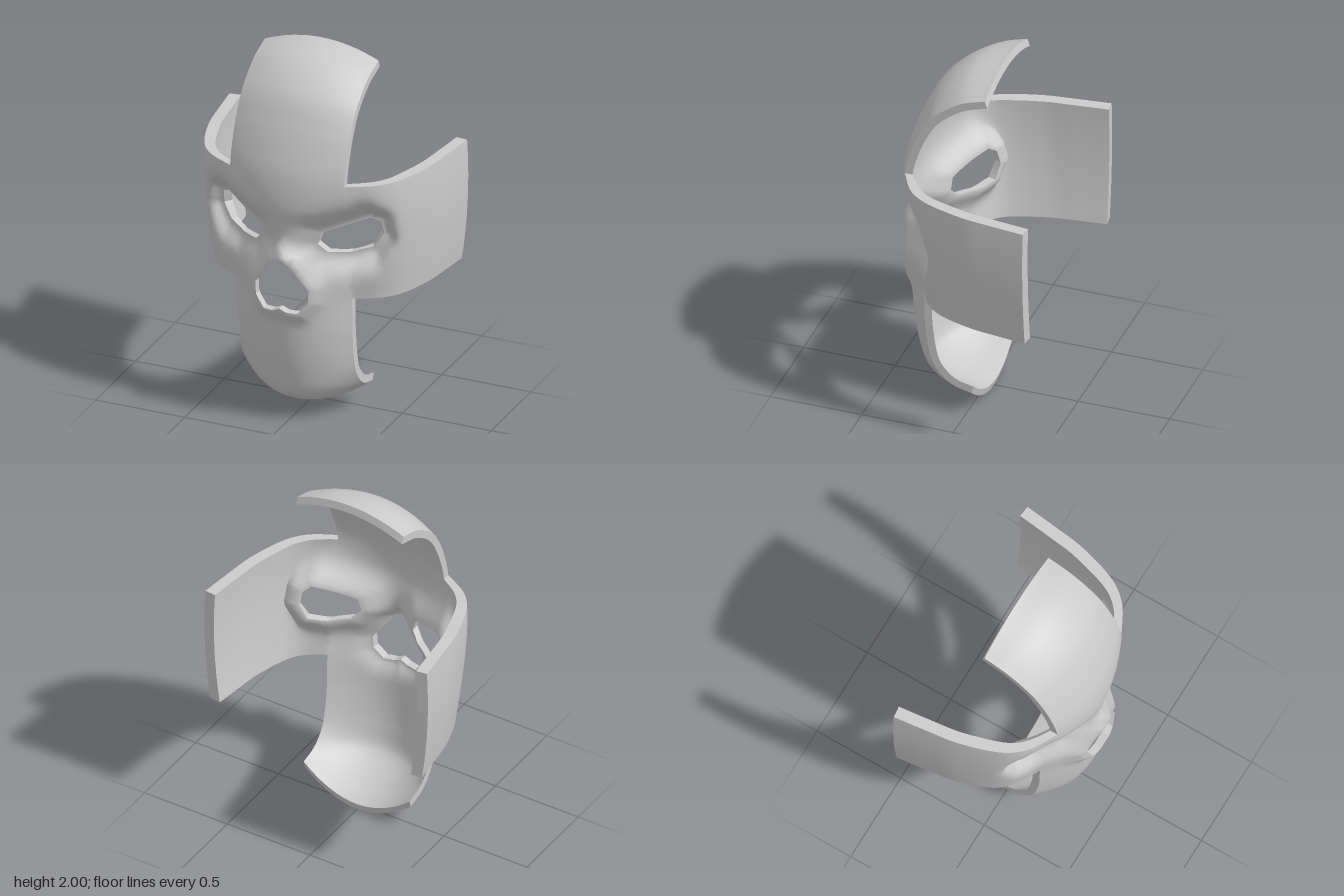
import * as THREE from 'three';

// Vertical profile: v, then y and z on the centre line, y and z at the strip edge (|x| = 0.32)
const PROFILE = [
  [-0.24, 0, -0.04, 0.14, -0.035], [-0.05, 0.05, 0.14, 0.165, 0.06], [0.13, 0.14, 0.295, 0.215, 0.13],
  [0.28, 0.28, 0.345, 0.3, 0.185], [0.5, 0.5, 0.378, 0.5, 0.22], [0.72, 0.72, 0.388, 0.72, 0.228],
  [0.9, 0.9, 0.385, 0.9, 0.26], [1.1, 1.1, 0.39, 1.1, 0.305], [1.25, 1.25, 0.41, 1.25, 0.328],
  [1.4, 1.4, 0.4, 1.4, 0.33], [1.53, 1.52, 0.37, 1.515, 0.305], [1.69, 1.68, 0.31, 1.655, 0.25],
  [1.86, 1.825, 0.23, 1.775, 0.172], [2.05, 1.945, 0.08, 1.88, 0.035], [2.24, 2, -0.106, 1.93, -0.106],
];
// Side band: distance round the head, x, and how far forward it still is (1 to 0)
const BAND = [
  [0.32, 0.32, 1], [0.5, 0.47, 0.89], [0.64, 0.555, 0.75], [0.87, 0.627, 0.47], [1.07, 0.655, 0.22], [1.24, 0.675, 0],
];
const EYE = [[0.155, 1.03], [0.2, 0.98], [0.3, 0.968], [0.413, 0.99], [0.475, 1.07], [0.464, 1.145], [0.41, 1.172], [0.3, 1.14], [0.175, 1.095]];
const NOSE = [[0, 0.978], [-0.05, 0.94], [-0.15, 0.8], [-0.145, 0.73], [-0.095, 0.668], [-0.04, 0.67], [0, 0.688],
  [0.04, 0.67], [0.095, 0.668], [0.145, 0.73], [0.15, 0.8], [0.05, 0.94]];
const EDGE = 0.32, LOW = 0.72, HIGH = 1.4, END = 1.24, MAX_EDGE = 0.045;

// Smooth interpolation through table rows, keyed by the first column
function sample(table, k) {
  let i = 0;
  while (i < table.length - 2 && k > table[i + 1][0]) i++;
  const p = table[i], q = table[i + 1], before = table[i - 1] ?? p, after = table[i + 2] ?? q;
  const h = q[0] - p[0], t = (k - p[0]) / h;
  return p.map((_, c) => {
    const m0 = (q[c] - before[c]) / (q[0] - before[0]) * h;
    const m1 = (after[c] - p[c]) / (after[0] - p[0]) * h;
    const d = q[c] - p[c];
    return p[c] + t * (m0 + t * (3 * d - 2 * m0 - m1 + t * (m0 + m1 - 2 * d)));
  });
}

function distanceTo(polygon, x, y) {
  let best = Infinity;
  polygon.forEach(([ax, ay], i) => {
    const [bx, by] = polygon[(i + 1) % polygon.length];
    const dx = bx - ax, dy = by - ay;
    const t = THREE.MathUtils.clamp(((x - ax) * dx + (y - ay) * dy) / (dx * dx + dy * dy), 0, 1);
    best = Math.min(best, Math.hypot(x - ax - t * dx, y - ay - t * dy));
  });
  return best;
}

// Outer face of the mask at (a, v): a runs round the head, v up the face
function surface(a, v) {
  const r = Math.abs(a);
  const [, yc, zc, ye, ze] = sample(PROFILE, v);
  let x = r, y, z;
  if (r <= EDGE) {
    const q = (r / EDGE) ** 2;
    y = yc + (ye - yc) * q;
    z = zc + (ze - zc) * q;
  } else {
    const [, bx, forward] = sample(BAND, r);
    x = EDGE + (bx - EDGE) * (1 - 0.44 * (v - 1.2) ** 2);
    y = ye;
    z = -0.44 + (ze + 0.44) * forward;
  }
  // sunken eye sockets and raised nose rim
  const eye = Math.exp(-((distanceTo(EYE, r, v) / 0.09) ** 2));
  const nose = Math.exp(-((distanceTo(NOSE, a, v) / 0.055) ** 2));
  z -= eye * (0.07 + 0.15 * Math.max(0, Math.min(r, 0.5) - 0.15));
  z += nose * (0.04 + 0.02 * THREE.MathUtils.smoothstep(v, 0.85, 0.98));
  return new THREE.Vector3(Math.sign(a) * x, y, z);
}

// Outer point, inner point and normal; the inner offset keeps strip cuts square
function shellPoint(a, v) {
  const e = 0.004;
  const outer = surface(a, v);
  const du = surface(a + e, v).sub(surface(a - e, v));
  const dv = surface(a, v + e).sub(surface(a, v - e));
  const normal = du.cross(dv).normalize();
  const r = Math.abs(a), step = THREE.MathUtils.smoothstep;
  const offset = normal.clone();
  offset.x *= step(r, EDGE, 0.5);
  offset.y *= Math.max(step(v, HIGH, HIGH + 0.15), 1 - step(v, LOW - 0.15, LOW));
  offset.normalize().multiplyScalar(0.042 + 0.02 * step(r, EDGE, 0.8));
  return { outer, inner: outer.clone().sub(offset), normal };
}

// Cut the flat cross into triangles no longer than MAX_EDGE
function flatTriangles() {
  const toPoints = (list) => list.map(([x, y]) => new THREE.Vector2(x, y));
  const B = -0.24, T = 2.24;
  const cross = new THREE.Shape(toPoints([
    [-EDGE, B], [EDGE, B], [EDGE, LOW], [END, LOW], [END, HIGH], [EDGE, HIGH],
    [EDGE, T], [-EDGE, T], [-EDGE, HIGH], [-END, HIGH], [-END, LOW], [-EDGE, LOW],
  ]));
  const mirrored = EYE.map(([x, y]) => [-x, y]);
  for (const hole of [EYE, mirrored, NOSE]) cross.holes.push(new THREE.Path(toPoints(hole)));
  const flat = new THREE.ShapeGeometry(cross);
  const pos = flat.attributes.position, index = flat.index.array;
  const stack = [], done = [];
  for (let i = 0; i < index.length; i += 3) {
    stack.push([0, 1, 2].map((k) => [pos.getX(index[i + k]), pos.getY(index[i + k])]));
  }
  while (stack.length) {
    const t = stack.pop();
    const len = t.map((p, i) => Math.hypot(p[0] - t[(i + 1) % 3][0], p[1] - t[(i + 1) % 3][1]));
    const longest = Math.max(...len);
    if (longest <= MAX_EDGE) { done.push(t); continue; }
    const i = len.indexOf(longest);
    const p = t[i], q = t[(i + 1) % 3], s = t[(i + 2) % 3];
    const mid = [(p[0] + q[0]) / 2, (p[1] + q[1]) / 2];
    stack.push([p, mid, s], [mid, q, s]);
  }
  return done;
}

function shellGeometry() {
  const positions = [], normals = [], cache = new Map(), edges = new Map();
  const keyOf = (p) => `${Math.round(p[0] * 1e5)},${Math.round(p[1] * 1e5)}`;
  const point = (p) => {
    const key = keyOf(p);
    if (!cache.has(key)) cache.set(key, shellPoint(p[0], p[1]));
    return cache.get(key);
  };
  const add = (p, n) => { positions.push(p.x, p.y, p.z); normals.push(n.x, n.y, n.z); };

  // outer and inner faces
  for (const t of flatTriangles()) {
    const s = t.map(point);
    for (const c of s) add(c.outer, c.normal);
    for (const c of [s[0], s[2], s[1]]) add(c.inner, c.normal.clone().negate());
    t.forEach((p, i) => {
      const q = t[(i + 1) % 3], back = `${keyOf(q)}|${keyOf(p)}`;
      if (!edges.delete(back)) edges.set(`${keyOf(p)}|${keyOf(q)}`, [p, q]);
    });
  }
  // rim walls along every unshared edge
  for (const [p, q] of edges.values()) {
    const a = point(p), b = point(q);
    const n = a.inner.clone().sub(a.outer).cross(b.inner.clone().sub(a.outer)).normalize();
    for (const c of [a.outer, a.inner, b.inner, a.outer, b.inner, b.outer]) add(c, n);
  }
  const geometry = new THREE.BufferGeometry();
  geometry.setAttribute('position', new THREE.Float32BufferAttribute(positions, 3));
  geometry.setAttribute('normal', new THREE.Float32BufferAttribute(normals, 3));
  return geometry;
}

export function createModel() {
  const group = new THREE.Group();
  group.name = 'mask';
  const shell = new THREE.Mesh(shellGeometry(), new THREE.MeshStandardMaterial({ color: 0xcccccc }));
  shell.name = 'maskShell';
  group.add(shell);
  return group;
}
